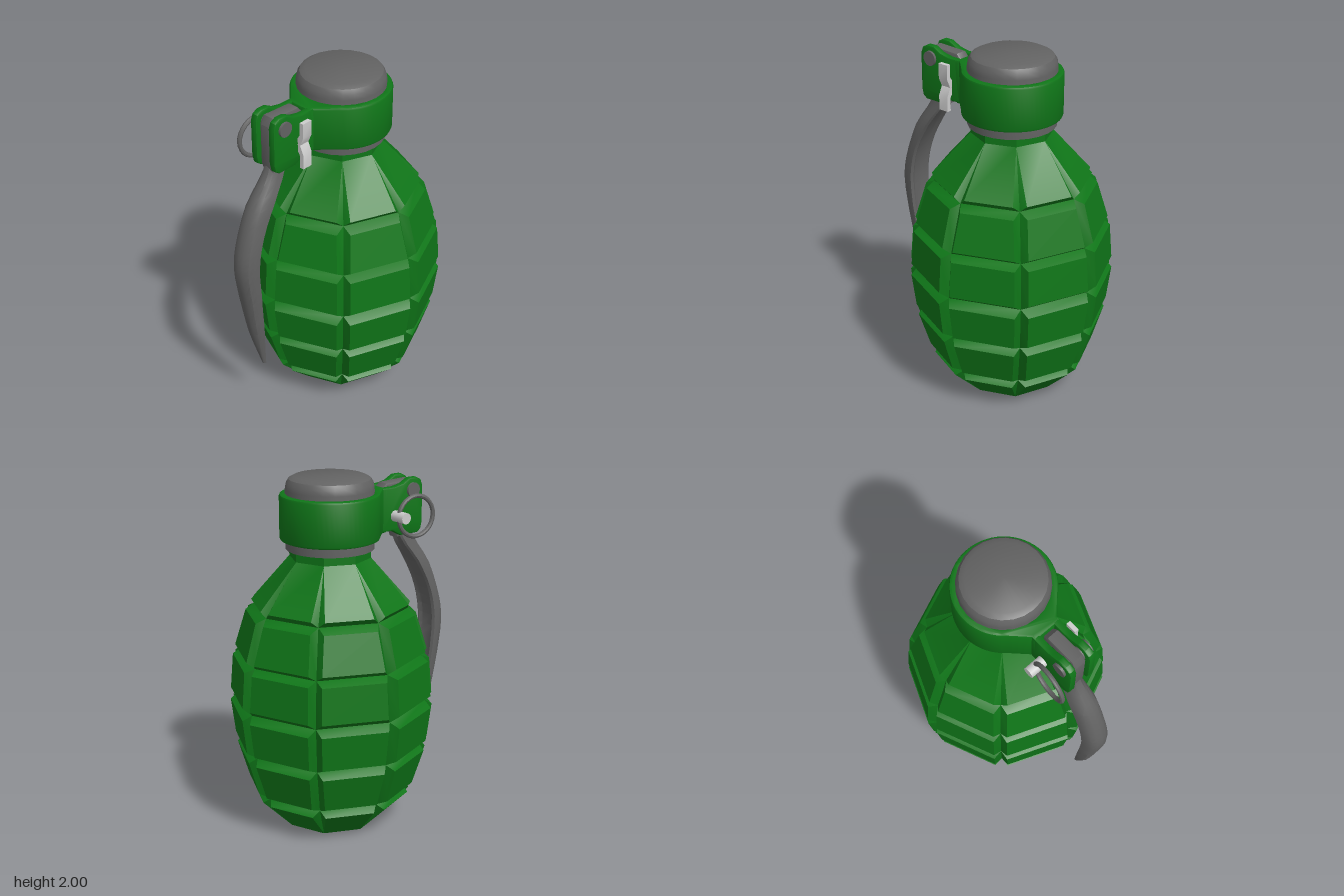
import * as THREE from 'three';
import { toCreasedNormals } from 'three/addons/utils/BufferGeometryUtils.js';

const green = new THREE.MeshStandardMaterial({ color: 0x0f7518 });
const steel = new THREE.MeshStandardMaterial({ color: 0x626262 });
const pale = new THREE.MeshStandardMaterial({ color: 0xcccccc });
const CZ = -0.115; // axis of the body

function part(name, geo, mat, x = 0, y = 0, z = 0) {
  const m = new THREE.Mesh(toCreasedNormals(geo, 0.55), mat);
  m.name = name;
  m.position.set(x, y, z);
  return m;
}

// Build a geometry from a list of corner points, three per triangle
function fromPoints(pts) {
  const g = new THREE.BufferGeometry().setFromPoints(pts);
  g.computeVertexNormals();
  return g;
}
const quad = (out, a, b, c, d) => out.push(a, b, c, a, c, d);

// Eight-sided shell: raised blocks separated by V grooves
function bodyShell() {
  const inset = 0.04, half = Math.PI / 8, out = [];
  // groove floor [radius, y], then block edges [radius, y] bottom and top
  const grooves = [[0.28, 0], [0.42, 0.208], [0.505, 0.475], [0.535, 0.735], [0.51, 1.0], [0.43, 1.27], [0.228, 1.55]];
  const blocks = [
    [0.28, 0, 0.465, 0.175], [0.49, 0.235, 0.555, 0.44], [0.565, 0.5, 0.59, 0.7],
    [0.587, 0.77, 0.57, 0.975], [0.555, 1.03, 0.49, 1.24], [0.457, 1.3, 0.228, 1.55],
  ];
  for (let k = 0; k < 8; k++) {
    const phi = half + k * 2 * half, c = Math.cos(phi), s = Math.sin(phi);
    const at = (r, y, side, cut) => {
      const a = r * Math.cos(half), w = side * (r * Math.sin(half) - cut);
      return new THREE.Vector3(a * c - w * s, y, a * s + w * c);
    };
    blocks.forEach(([r0, y0, r1, y1], i) => {
      const [g0, g1] = [grooves[i], grooves[i + 1]];
      const c0 = i === 0 ? 0 : inset, c1 = i === blocks.length - 1 ? 0 : inset;
      const o = [at(r0, y0, 1, c0), at(r0, y0, -1, c0), at(r1, y1, -1, c1), at(r1, y1, 1, c1)];
      const b = [at(...g0, 1, 0), at(...g0, -1, 0), at(...g1, -1, 0), at(...g1, 1, 0)];
      quad(out, ...o);
      for (let j = 0; j < 4; j++) {
        const n = (j + 1) % 4;
        quad(out, b[j], b[n], o[n], o[j]);
      }
    });
  }
  return fromPoints(out);
}

// Plate with a side profile given as [z, y], centred on x = 0
function sidePlate(profile, width, bevel) {
  const g = new THREE.ExtrudeGeometry(new THREE.Shape(profile.map(p => new THREE.Vector2(...p))), {
    depth: width - 2 * bevel, bevelThickness: bevel, bevelSize: bevel, bevelOffset: -bevel,
    bevelSegments: 2, bevelEnabled: bevel > 0,
  });
  g.translate(0, 0, bevel - width / 2);
  return g.rotateY(-Math.PI / 2);
}

// Curved lever: rounded outside, shallow hollow inside, tapering to a tip
function leverBlade() {
  const curve = pts => new THREE.CatmullRomCurve3(pts.map(([z, y]) => new THREE.Vector3(0, y, z)));
  const outer = curve([[0.44, 1.7], [0.465, 1.6], [0.59, 1.41], [0.67, 1.18], [0.685, 1.05], [0.655, 0.84], [0.61, 0.6], [0.53, 0.335]]);
  const inner = curve([[0.34, 1.7], [0.355, 1.6], [0.455, 1.45], [0.545, 1.28], [0.585, 1.1], [0.577, 0.9], [0.55, 0.65], [0.51, 0.33]]);
  const widths = [0.036, 0.047, 0.073, 0.077, 0.077, 0.073, 0.053, 0.008];
  const section = [[1, 0.1], [0.95, 0.45], [0.75, 0.78], [0.4, 0.96], [0, 1], [-0.4, 0.96], [-0.75, 0.78],
    [-0.95, 0.45], [-1, 0.1], [-0.8, 0], [-0.5, 0.15], [0.5, 0.15], [0.8, 0]];
  const N = 21, n = section.length, rings = [], out = [];
  for (let i = 0; i <= N; i++) {
    const t = i / N, f = t * 7, k = Math.min(6, Math.floor(f));
    const w = THREE.MathUtils.lerp(widths[k], widths[k + 1], f - k);
    const a = inner.getPoint(t), b = outer.getPoint(t);
    rings.push(section.map(([x, u]) => a.clone().lerp(b, u).setX(x * w)));
  }
  for (let i = 0; i < N; i++) {
    for (let j = 0; j < n; j++) {
      const m = (j + 1) % n;
      quad(out, rings[i][j], rings[i][m], rings[i + 1][m], rings[i + 1][j]);
    }
  }
  const tip = rings[N];
  for (let j = 1; j < n - 1; j++) out.push(tip[0], tip[j], tip[j + 1]);
  return fromPoints(out);
}

// Collar: ring with a tapered nose towards the front
function collarGeometry() {
  const s = new THREE.Shape(), a = 0.67;
  s.absarc(0, -CZ, 0.277, -Math.PI / 2 + a, Math.PI * 1.5 - a, false);
  s.lineTo(-0.086, -0.19);
  s.lineTo(-0.086, -0.215);
  s.lineTo(0.086, -0.215);
  s.lineTo(0.086, -0.19);
  s.closePath();
  const hole = new THREE.Path();
  hole.absarc(0, -CZ, 0.225, 0, Math.PI * 2, true);
  s.holes.push(hole);
  const b = 0.014;
  const g = new THREE.ExtrudeGeometry(s, {
    depth: 0.255 - 2 * b, bevelThickness: b, bevelSize: b, bevelOffset: -b, bevelSegments: 2, curveSegments: 24,
  });
  return g.rotateX(-Math.PI / 2).translate(0, 1.65 + b, 0);
}

export function createModel() {
  const model = new THREE.Group();
  model.name = 'grenade';

  // Body
  model.add(part('body', bodyShell(), green, 0, 0, CZ));
  model.add(part('bodyBase', new THREE.CircleGeometry(0.28, 8).rotateX(Math.PI / 2), green, 0, 0, CZ));
  model.add(part('neck', new THREE.CylinderGeometry(0.228, 0.228, 0.07, 8), green, 0, 1.585, CZ));

  // Fuse cap
  const capProfile = [[0, 1.6], [0.245, 1.6], [0.245, 1.93], [0.24, 1.96], [0.225, 1.985], [0.195, 2], [0, 2]];
  model.add(part('fuseCap', new THREE.LatheGeometry(capProfile.map(p => new THREE.Vector2(...p)), 24), steel, 0, 0, CZ));

  // Collar and its pair of ears
  model.add(part('collar', collarGeometry(), green));
  const ear = [[0.18, 1.655], [0.26, 1.655], [0.32, 1.622], [0.44, 1.622], [0.465, 1.64], [0.475, 1.68], [0.475, 1.89],
    [0.462, 1.925], [0.43, 1.942], [0.38, 1.942], [0.33, 1.915], [0.27, 1.903], [0.18, 1.903]];
  for (const side of [-1, 1]) {
    model.add(part(side > 0 ? 'leftEar' : 'rightEar', sidePlate(ear, 0.042, 0.01), green, side * 0.065));
  }

  // Lever
  const head = [[0.33, 1.6], [0.44, 1.6], [0.455, 1.65], [0.455, 1.88], [0.43, 1.925], [0.25, 1.918],
    [0.22, 1.885], [0.22, 1.8], [0.31, 1.74]];
  model.add(part('leverHead', sidePlate(head, 0.076, 0.012), steel));
  model.add(part('lever', leverBlade(), steel));
  model.add(part('pivot', new THREE.CylinderGeometry(0.042, 0.042, 0.2, 16).rotateZ(Math.PI / 2), steel, 0, 1.873, 0.4));

  // Safety pin with two splayed prongs
  const pin = new THREE.Group();
  pin.name = 'safetyPin';
  pin.position.set(0, 1.74, 0.275);
  pin.add(part('pinShaft', new THREE.CylinderGeometry(0.032, 0.032, 0.285, 12).rotateZ(Math.PI / 2), pale, -0.043));
  const prong = new THREE.Shape([[0.08, 0], [0.102, 0], [0.125, 0.05], [0.125, 0.135], [0.1, 0.135], [0.1, 0.06], [0.08, 0.03]]
    .map(p => new THREE.Vector2(...p)));
  const prongGeo = new THREE.ExtrudeGeometry(prong, { depth: 0.062, bevelEnabled: false }).translate(0, 0, -0.031);
  pin.add(part('upperProng', prongGeo, pale));
  const lower = part('lowerProng', prongGeo.clone().rotateX(Math.PI), pale);
  pin.add(lower);
  model.add(pin);

  // Pull ring
  const ring = part('pullRing', new THREE.TorusGeometry(0.115, 0.013, 8, 28), steel, -0.142, 1.735, 0.38);
  ring.rotation.y = -Math.PI / 2 - 0.1;
  model.add(ring);

  return model;
}
